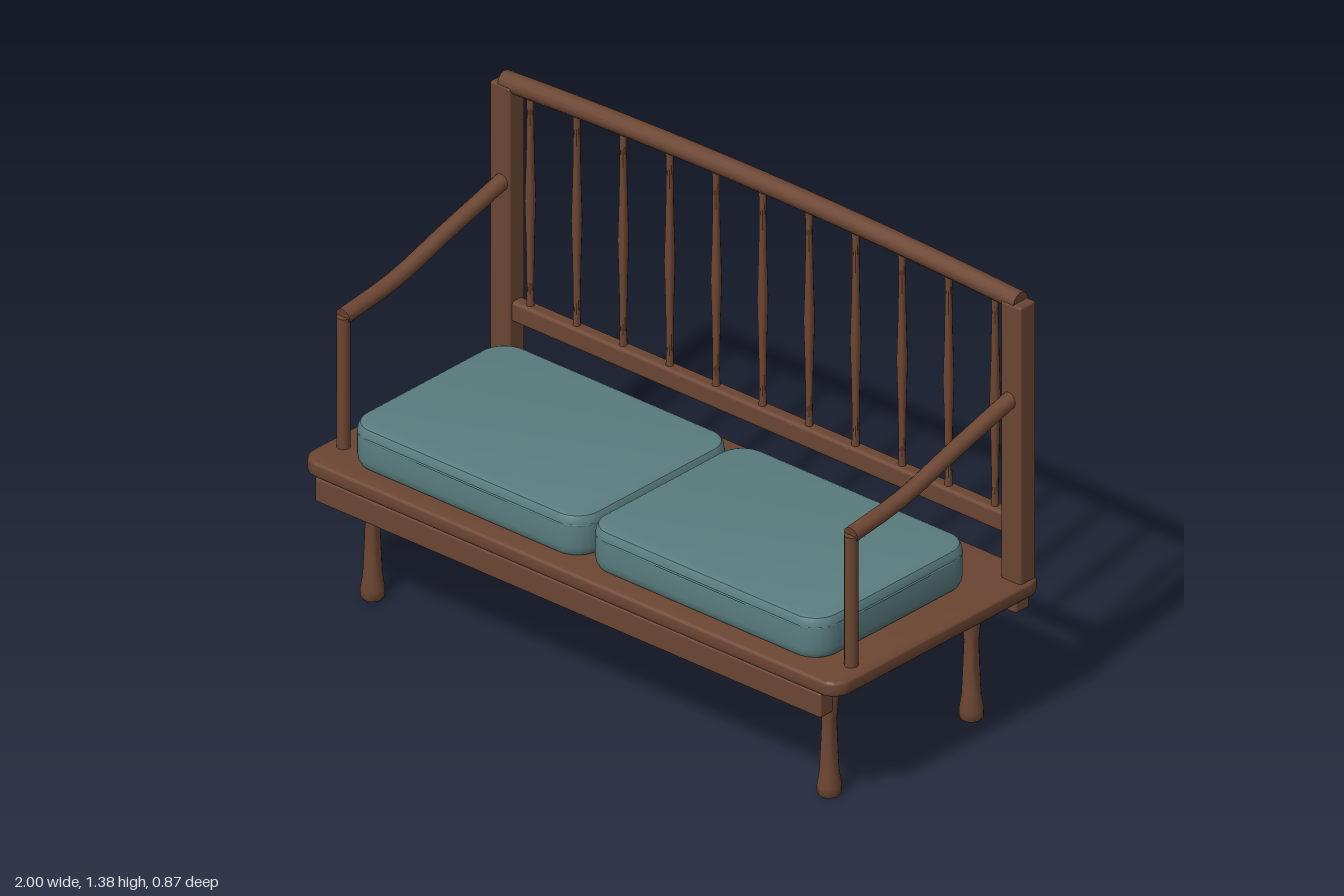
import * as THREE from 'three';
import { toCreasedNormals } from 'three/addons/utils/BufferGeometryUtils.js';
import { RoundedBoxGeometry } from 'three/addons/geometries/RoundedBoxGeometry.js';

const wood = new THREE.MeshStandardMaterial({ color: 0x6b4532 });
const fabric = new THREE.MeshStandardMaterial({ color: 0x5a7d7f });
const BACK_Z = -0.377;

function add(parent, name, geometry, material, x = 0, y = 0, z = 0) {
  const mesh = new THREE.Mesh(geometry, material);
  mesh.name = name;
  mesh.position.set(x, y, z);
  parent.add(mesh);
  return mesh;
}

// Rounded rectangle centred on the origin
function roundedRect(w, d, r) {
  const s = new THREE.Shape();
  const x = w / 2, y = d / 2;
  s.absarc(x - r, y - r, r, 0, Math.PI / 2);
  s.absarc(-x + r, y - r, r, Math.PI / 2, Math.PI);
  s.absarc(-x + r, -y + r, r, Math.PI, Math.PI * 1.5);
  s.absarc(x - r, -y + r, r, Math.PI * 1.5, Math.PI * 2);
  s.closePath();
  return s;
}

// Horizontal slab with bevelled edges, standing on y = 0
function slab(w, d, h, r, bevelSize, bevelThickness, bevelSegments) {
  const g = new THREE.ExtrudeGeometry(roundedRect(w, d, r), {
    depth: h - 2 * bevelThickness, curveSegments: 8,
    bevelSize, bevelThickness, bevelSegments, bevelOffset: -bevelSize,
  });
  g.translate(0, 0, bevelThickness).rotateX(-Math.PI / 2);
  return toCreasedNormals(g, 0.6);
}

// Turned part from [radius, height] pairs, closed at both ends
function turned(profile, sides) {
  const pts = [[0, profile[0][1]], ...profile, [0, profile.at(-1)[1]]];
  const g = new THREE.LatheGeometry(pts.map(([r, y]) => new THREE.Vector2(r, y)), sides);
  return toCreasedNormals(g, 0.9);
}

// Round rod along a curve, with end caps
function rod(parent, name, curve, segments, radius) {
  const group = new THREE.Group();
  group.name = name;
  parent.add(group);
  add(group, name + 'Bar', new THREE.TubeGeometry(curve, segments, radius, 12), wood);
  for (const t of [0, 1]) {
    const cap = add(group, name + 'End', new THREE.CircleGeometry(radius, 12), wood);
    const dir = curve.getTangentAt(t).multiplyScalar(t ? 1 : -1);
    cap.position.copy(curve.getPointAt(t));
    cap.quaternion.setFromUnitVectors(new THREE.Vector3(0, 0, 1), dir);
  }
}

export function createModel() {
  const model = new THREE.Group();
  model.name = 'bench';

  // Seat board with aprons and cross braces below
  add(model, 'seatBoard', slab(2, 0.87, 0.047, 0.06, 0.01, 0.01, 3), wood, 0, 0.4, 0);
  for (const s of [1, -1]) {
    add(model, s > 0 ? 'frontApron' : 'backApron',
      new RoundedBoxGeometry(1.884, 0.078, 0.057, 2, 0.008), wood, 0, 0.364, s * 0.406);
    add(model, 'crossBrace', new THREE.BoxGeometry(0.055, 0.056, 0.77), wood, s * 0.48, 0.373, 0);
  }

  // Turned legs
  const leg = turned([[0.03, 0], [0.035, 0.008], [0.035, 0.03], [0.028, 0.075],
    [0.024, 0.16], [0.021, 0.24], [0.028, 0.31], [0.037, 0.402]], 16);
  for (const x of [-0.85, 0.85]) {
    for (const z of [-0.295, 0.295]) add(model, 'leg', leg, wood, x, 0, z);
  }

  // Seat cushions with a seam along the upper edge
  for (const s of [1, -1]) {
    const cushion = new THREE.Group();
    cushion.name = s > 0 ? 'leftCushion' : 'rightCushion';
    cushion.position.set(s * 0.443, 0.446, 0.05);
    model.add(cushion);
    add(cushion, 'pad', slab(0.876, 0.654, 0.132, 0.085, 0.018, 0.032, 3), fabric);
    const outline = roundedRect(0.874, 0.652, 0.085).getPoints(6).slice(0, -1)
      .map((p) => new THREE.Vector3(p.x, 0.1, p.y));
    const path = new THREE.CatmullRomCurve3(outline, true, 'centripetal');
    add(cushion, 'seam', new THREE.TubeGeometry(path, 96, 0.003, 6, true), fabric);
  }

  // Back posts and armrests
  for (const s of [1, -1]) {
    const side = s > 0 ? 'left' : 'right';
    add(model, side + 'BackPost', new RoundedBoxGeometry(0.075, 0.88, 0.065, 2, 0.008),
      wood, s * 0.951, 0.881, BACK_Z);
    add(model, side + 'ArmPost', new THREE.CylinderGeometry(0.02, 0.02, 0.415, 12),
      wood, s * 0.945, 0.65, 0.31);
    const arm = new THREE.CatmullRomCurve3([[0.858, 0.312], [0.888, 0.1], [0.95, -0.11], [1.02, -0.36]]
      .map(([y, z]) => new THREE.Vector3(s * 0.945, y, z)), false, 'centripetal');
    rod(model, side + 'Armrest', arm, 10, 0.025);
  }

  // Lower rail and gently arched crest rail
  add(model, 'lowerBackRail', new RoundedBoxGeometry(1.85, 0.065, 0.045, 3, 0.012),
    wood, 0, 0.612, BACK_Z);
  const crest = new THREE.QuadraticBezierCurve3(
    new THREE.Vector3(-0.96, 1.32, BACK_Z),
    new THREE.Vector3(0, 1.374, BACK_Z),
    new THREE.Vector3(0.96, 1.32, BACK_Z));
  rod(model, 'crestRail', crest, 16, 0.03);

  // Turned back spindles
  const spindle = turned([[0.012, 0], [0.01, 0.06], [0.012, 0.2], [0.016, 0.34],
    [0.012, 0.48], [0.01, 0.62], [0.012, 0.69]], 10);
  for (let i = -5; i <= 5; i++) add(model, 'backSpindle', spindle, wood, i * 0.173, 0.635, BACK_Z);

  return model;
}
